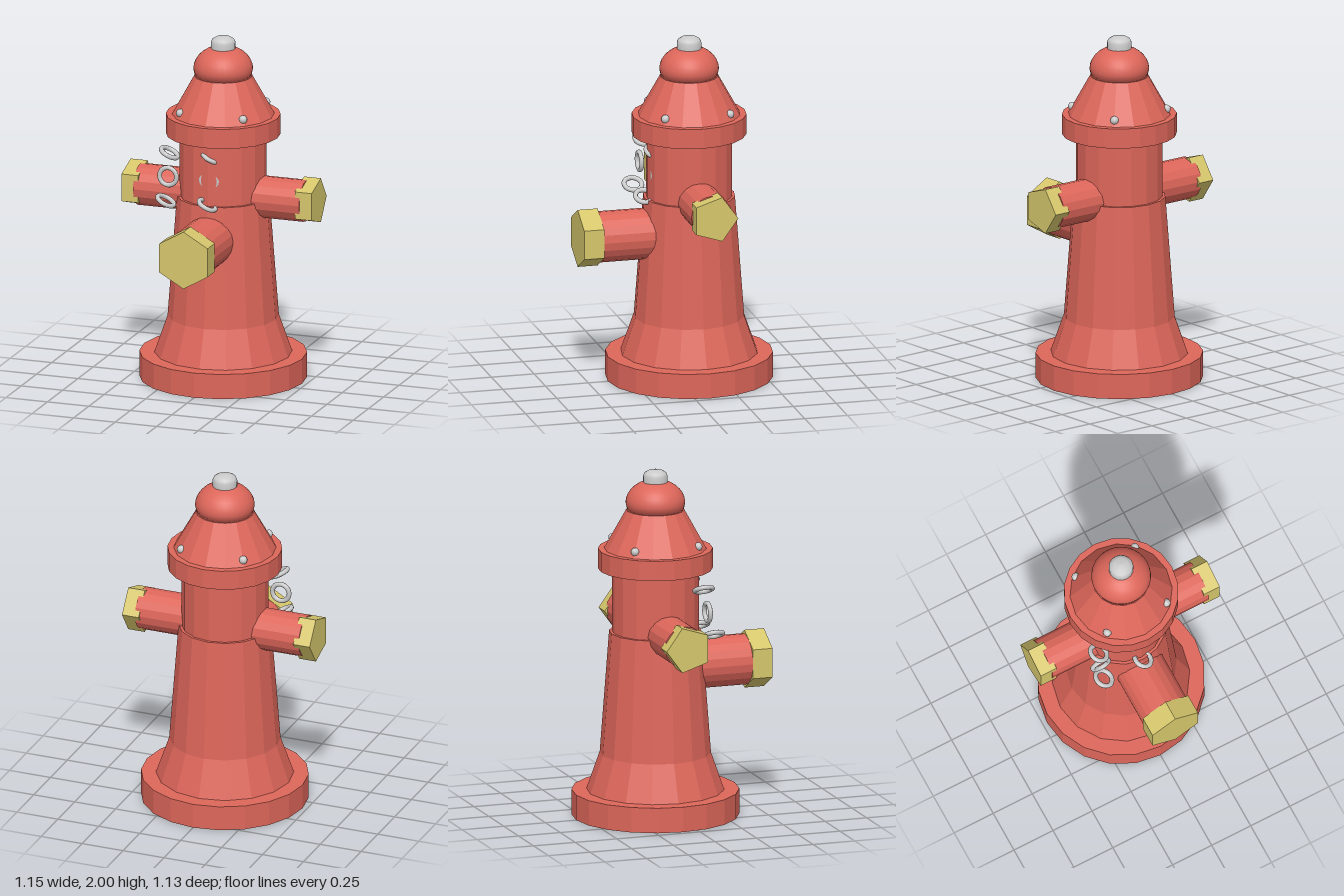
import * as THREE from 'three';

const AXIS_Z = -0.09; // the barrel stands slightly behind the centre

const red = new THREE.MeshStandardMaterial({ color: 0xdd665a, flatShading: true });
const redSmooth = new THREE.MeshStandardMaterial({ color: 0xdd665a });
const gold = new THREE.MeshStandardMaterial({ color: 0xd6c76c, flatShading: true });
const grey = new THREE.MeshStandardMaterial({ color: 0xcccccc });

function add(parent, name, geometry, material, x = 0, y = 0, z = 0) {
  const mesh = new THREE.Mesh(geometry, material);
  mesh.name = name;
  mesh.position.set(x, y, z);
  parent.add(mesh);
  return mesh;
}

// Turned shape from [radius, height] pairs, listed bottom to top
function turned(pairs, sides) {
  return new THREE.LatheGeometry(pairs.map(([r, y]) => new THREE.Vector2(r, y)), sides);
}

// Upright prism between two heights
function prism(radius, y0, y1, sides, start = 0) {
  return new THREE.CylinderGeometry(radius, radius, y1 - y0, sides, 1, false, start)
    .translate(0, (y0 + y1) / 2, 0);
}

export function createModel() {
  const model = new THREE.Group();
  model.name = 'fireHydrant';

  const column = new THREE.Group();
  column.name = 'column';
  column.position.z = AXIS_Z;
  model.add(column);

  // Foot, flared barrel and neck
  add(column, 'baseFlange', prism(0.475, 0, 0.145, 20), red);
  add(column, 'barrel', turned([[0.39, 0.145], [0.315, 0.36], [0.262, 1.065], [0, 1.065]], 16), red);
  add(column, 'neck', prism(0.246, 1.0, 1.45, 16), red);

  // Collar, bonnet, dome and top nut
  add(column, 'collar', prism(0.325, 1.43, 1.545, 20), red);
  add(column, 'bonnet', turned([[0.29, 1.545], [0.165, 1.77], [0, 1.77]], 16), red);
  const dome = [[0, 1.77], [0.16, 1.77]];
  for (let i = 0; i <= 8; i++) {
    const a = (i / 8) * Math.PI / 2;
    dome.push([0.169 * Math.cos(a), 1.81 + 0.132 * Math.sin(a)]);
  }
  add(column, 'dome', turned(dome, 32), redSmooth);
  add(column, 'topNut', turned([[0.07, 1.93], [0.07, 1.965], [0.062, 1.983], [0.04, 1.996], [0, 2]], 16), grey);

  // Four bolts around the bonnet
  for (let i = 0; i < 4; i++) {
    const a = Math.PI / 4 + i * Math.PI / 2;
    add(column, 'bolt', new THREE.SphereGeometry(0.024, 12, 8), grey,
      0.268 * Math.sin(a), 1.58, 0.268 * Math.cos(a));
  }

  // Side outlets with five-sided caps
  for (const side of [1, -1]) {
    const outlet = new THREE.Group();
    outlet.name = side > 0 ? 'leftOutlet' : 'rightOutlet';
    outlet.position.set(0, 1.08, AXIS_Z);
    outlet.rotation.z = -side * Math.PI / 2;
    add(outlet, 'outletPipe', prism(0.12, 0.1, 0.5, 16), red);
    add(outlet, 'outletCap', prism(0.136, 0.472, 0.573, 5, Math.PI), gold);
    model.add(outlet);
  }

  // Large front outlet with a hexagonal cap
  const front = new THREE.Group();
  front.name = 'frontOutlet';
  front.position.set(0, 0.857, 0);
  front.rotation.x = Math.PI / 2;
  add(front, 'frontPipe', prism(0.145, 0, 0.46, 20), red);
  add(front, 'frontCap', prism(0.168, 0.445, 0.562, 6), gold);
  model.add(front);

  // Two short chains: an upright link between two tilted ones
  const link = new THREE.TorusGeometry(0.051, 0.014, 8, 24);
  for (const x of [-0.25, 0]) {
    const chain = new THREE.Group();
    chain.name = 'chain';
    chain.position.x = x;
    add(chain, 'middleLink', link, grey, 0, 1.21, 0.134);
    for (const [y, z] of [[1.343, 0.11], [1.077, 0.172]]) {
      const tilted = add(chain, 'tiltedLink', link, grey, 0, y, z);
      tilted.rotation.set(Math.PI / 2, 0, -0.48, 'ZYX');
    }
    model.add(chain);
  }

  return model;
}
